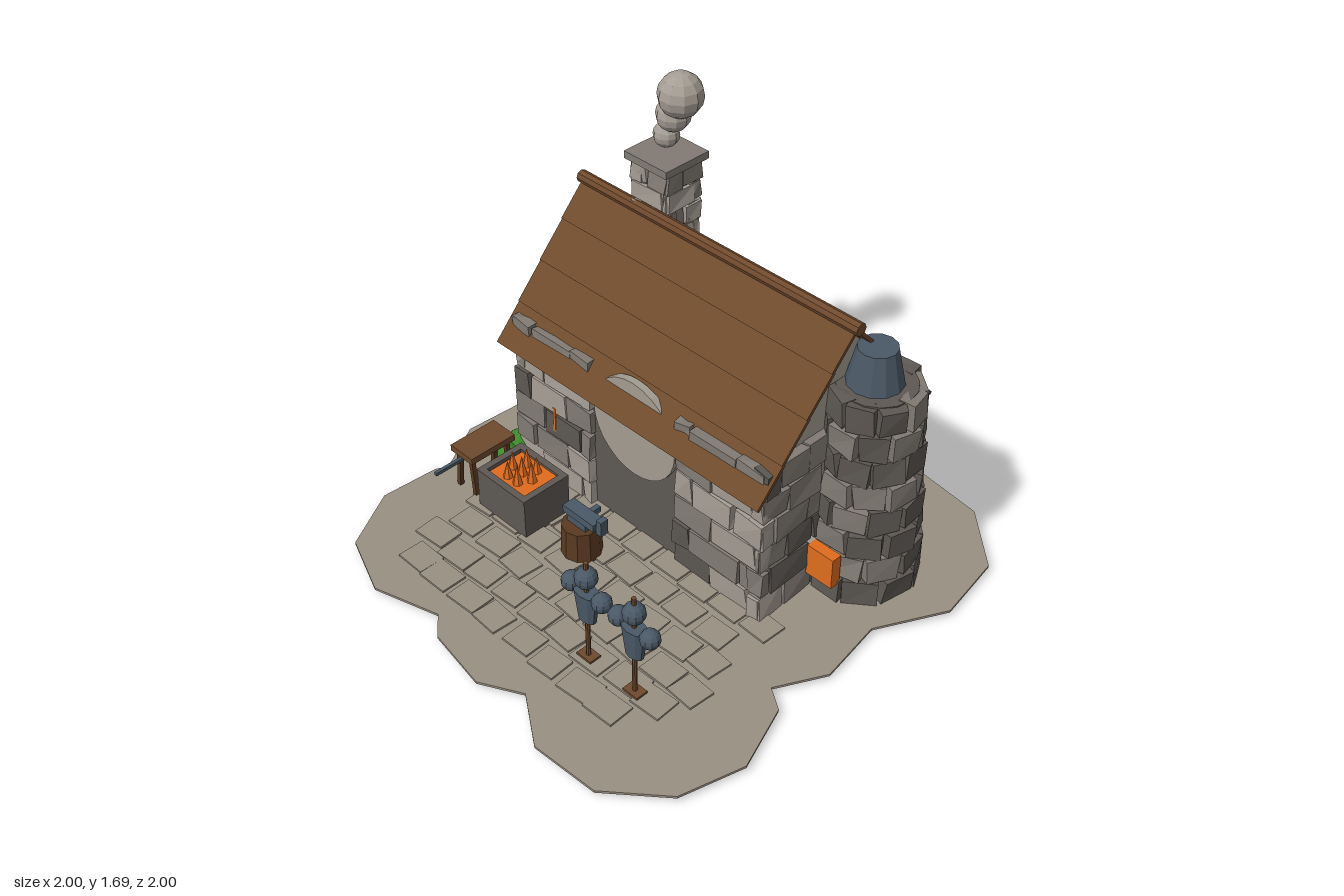
import * as THREE from 'three';

const mat = (name, color) => new THREE.MeshStandardMaterial({ name, color, flatShading: true });

export function createModel() {
  const ground = mat('ground', 0x9a9083), light = mat('light stone', 0xa69e95),
    mid = mat('mid stone', 0x827b74), dark = mat('dark stone', 0x5d5853),
    wood = mat('wood', 0x6f4a2d), darkWood = mat('dark wood', 0x5a3a22),
    iron = mat('iron', 0x4a5866), ember = mat('ember', 0xe06c1e),
    leaf = mat('leaf', 0x3d8a2a), plaster = mat('plaster', 0xa39c91);
  const model = new THREE.Group();
  let seed = 7;
  const rnd = () => (seed = (seed * 16807) % 2147483647) / 2147483647;
  const spread = (a) => (rnd() - 0.5) * 2 * a;

  const add = (parent, name, geo, m, x = 0, y = 0, z = 0) => {
    const mesh = new THREE.Mesh(geo, m);
    mesh.name = name;
    mesh.position.set(x, y, z);
    parent.add(mesh);
    return mesh;
  };
  const part = (name, x = 0, y = 0, z = 0) => {
    const g = new THREE.Group();
    g.name = name;
    g.position.set(x, y, z);
    model.add(g);
    return g;
  };
  const box = (w, h, d) => new THREE.BoxGeometry(w, h, d);
  const cyl = (rt, rb, h, n = 10) => new THREE.CylinderGeometry(rt, rb, h, n);
  const ball = (r) => new THREE.SphereGeometry(r, 10, 8);

  // Rough hewn block: each corner of a box is nudged, shared by its three faces
  const stone = (w, h, d, j = 0.007) => {
    const g = box(w, h, d), p = g.attributes.position, moved = {};
    for (let i = 0; i < p.count; i++) {
      const key = [p.getX(i) > 0, p.getY(i) > 0, p.getZ(i) > 0].join();
      const o = moved[key] ??= [spread(j), spread(j), spread(j)];
      p.setXYZ(i, p.getX(i) + o[0], p.getY(i) + o[1], p.getZ(i) + o[2]);
    }
    return g;
  };

  // One straight face of staggered courses; local x runs along it, local z points outward
  const wall = (parent, name, o) => {
    const g = new THREE.Group();
    g.name = name;
    g.position.set(o.x, 0, o.z);
    g.rotation.y = o.turn;
    parent.add(g);
    const h = (o.y1 - o.y0) / o.courses;
    for (let c = 0; c < o.courses; c++) {
      for (const [from, to] of o.spans ?? [[-o.length / 2, o.length / 2]]) {
        const n = Math.max(1, Math.round((to - from) / o.stone));
        const cuts = [from];
        for (let i = 0; i < n; i++) {
          const x = from + (to - from) * (i + (c % 2 ? 0.45 : 0.8)) / n + spread(o.stone * 0.12);
          cuts.push(x);
        }
        cuts.push(to);
        for (let i = 0; i < cuts.length - 1; i++) {
          const w = cuts[i + 1] - cuts[i];
          if (w < 0.015) continue;
          const m = o.mats[Math.floor(rnd() * o.mats.length)];
          add(g, 'stone', stone(w - 0.008, h - 0.008, 0.06), m,
            (cuts[i] + cuts[i + 1]) / 2, o.y0 + h * (c + 0.5), -0.03 + spread(0.006));
        }
      }
    }
  };
  // Four walls around a rectangle
  const ring = (parent, cx, cz, hx, hz, o, frontSpans) => {
    wall(parent, 'frontWall', { ...o, x: cx, z: cz + hz, turn: 0, length: 2 * hx, spans: frontSpans });
    wall(parent, 'backWall', { ...o, x: cx, z: cz - hz, turn: Math.PI, length: 2 * hx });
    wall(parent, 'leftWall', { ...o, x: cx + hx, z: cz, turn: Math.PI / 2, length: 2 * hz });
    wall(parent, 'rightWall', { ...o, x: cx - hx, z: cz, turn: -Math.PI / 2, length: 2 * hz });
  };

  // Lobed ground slab
  const outline = [-.75, -.95, -.49, -.97, -.26, -.82, -.21, -.88, .04, -.95, .22, -.88, .45, -1, .735, -.965,
    .955, -.765, 1, -.48, .86, -.21, .9, .06, .8, .25, .885, .305, .975, .56, .905, .81, .7, .985, .425, 1,
    .23, .87, .07, .955, -.19, .915, -.275, .845, -.54, .925, -.785, .83, -.92, .59, -.905, .35, -.88, .305,
    -1, .095, -.985, -.16, -.88, -.29, -.98, -.52, -.93, -.765];
  const lobes = new THREE.Shape();
  for (let i = 0; i < outline.length; i += 2) lobes[i ? 'lineTo' : 'moveTo'](outline[i], -outline[i + 1]);
  const slab = new THREE.ExtrudeGeometry(lobes, { depth: 0.01, bevelEnabled: false });
  add(model, 'groundSlab', slab.rotateX(-Math.PI / 2), ground, 0, 0.026, 0);

  // Paving rows
  const paving = part('paving');
  for (let r = 0; r < 6; r++) {
    for (let i = 0; i < 9; i++) {
      const x = -0.61 + i * 0.148 + (r % 2 ? 0.055 : 0) + spread(0.01);
      if (x > 0.63) continue;
      const tile = add(paving, 'pavingStone', box(0.13 + spread(0.012), 0.012, 0.108), ground,
        x, 0.038, 0.07 + r * 0.128 + spread(0.01));
      tile.rotation.y = spread(0.09);
    }
  }

  // House walls, doorway and gables
  const house = part('house');
  add(house, 'wallCore', box(1.23, 0.65, 0.76), dark, -0.09, 0.345, -0.355);
  ring(house, -0.09, -0.35, 0.645, 0.405,
    { y0: 0.03, y1: 0.72, courses: 6, stone: 0.18, mats: [light, light, mid, mid, dark] },
    [[-0.645, -0.225], [0.21, 0.645]]);
  const arch = add(house, 'doorArch', cyl(0.21, 0.21, 0.03, 28), plaster, -0.09, 0.54, 0.03);
  arch.rotation.x = Math.PI / 2;
  add(house, 'doorGlow', box(0.4, 0.008, 0.03), ember, -0.09, 0.02, 0.01);
  add(house, 'hotBar', box(0.012, 0.11, 0.012), ember, -0.51, 0.35, 0.055);
  const tri = new THREE.Shape([[-0.38, 0.69], [0.38, 0.69], [0, 1.12]].map(p => new THREE.Vector2(...p)));
  for (const x of [-0.7, 0.49]) {
    const gable = new THREE.ExtrudeGeometry(tri, { depth: 0.03, bevelEnabled: false });
    add(house, 'gable', gable.rotateY(Math.PI / 2), plaster, x, 0, -0.35);
  }

  // Roof: four overlapping boards on each slope, with a round ridge beam
  const pitch = Math.atan2(0.53, 0.46);
  for (const s of [1, -1]) {
    const slope = part(s > 0 ? 'frontRoof' : 'backRoof', -0.09, 1.145, -0.35);
    slope.rotation.x = s * pitch;
    for (let i = 0; i < 4; i++) {
      const board = add(slope, 'roofBoard', box(1.34, 0.014, 0.184), wood, 0, -0.006, s * (0.088 + i * 0.175));
      board.rotation.x = -s * 0.03;
    }
  }
  add(model, 'ridgeBeam', cyl(0.025, 0.025, 1.37, 8).rotateZ(Math.PI / 2), wood, -0.09, 1.14, -0.35);

  // Chimney and smoke
  const chimney = part('chimney');
  add(chimney, 'chimneyCore', box(0.15, 0.5, 0.15), dark, -0.415, 1.08, -0.44);
  ring(chimney, -0.415, -0.44, 0.09, 0.09,
    { y0: 0.83, y1: 1.33, courses: 6, stone: 0.13, mats: [light, light, light, mid] });
  add(chimney, 'chimneyCap', box(0.215, 0.03, 0.215), mid, -0.415, 1.345, -0.44);
  for (const [x, y, r] of [[-0.415, 1.43, 0.05], [-0.38, 1.525, 0.066], [-0.345, 1.615, 0.086]])
    add(chimney, 'smokePuff', ball(r), light, x, y, -0.44);

  // Round furnace tower
  const tower = part('furnaceTower', 0.62, 0, -0.43);
  add(tower, 'towerCore', cyl(0.145, 0.175, 0.87, 16), dark, 0, 0.46, 0);
  for (let c = 0; c < 8; c++) {
    const r = 0.178 - c * 0.005, n = 9;
    for (let i = 0; i < n; i++) {
      const a = (i + (c % 2) / 2) / n * Math.PI * 2;
      const block = add(tower, 'towerStone', stone(r * 0.73, 0.102, 0.055, 0.008), rnd() < 0.25 ? mid : dark,
        Math.sin(a) * r, 0.085 + c * 0.108, Math.cos(a) * r);
      block.rotation.y = a;
    }
  }
  add(tower, 'towerFlue', cyl(0.073, 0.105, 0.145, 12), iron, -0.01, 0.968, 0);
  add(tower, 'furnaceMouth', box(0.12, 0.135, 0.045), ember, 0, 0.188, 0.22);

  // Open forge with flames
  const forge = part('forge', -0.485, 0, 0.25);
  add(forge, 'forgeBase', box(0.27, 0.18, 0.22), dark, 0, 0.11, 0);
  for (const s of [1, -1]) {
    add(forge, 'forgeRim', box(0.27, 0.02, 0.028), dark, 0, 0.208, s * 0.098);
    add(forge, 'forgeRim', box(0.028, 0.02, 0.17), dark, s * 0.121, 0.208, 0);
  }
  add(forge, 'coals', box(0.2, 0.008, 0.165), ember, 0, 0.205, 0);
  for (let i = 0; i < 7; i++) {
    const a = i * Math.PI / 3, r = i < 6 ? 0.055 : 0, h = 0.08 + 0.03 * rnd();
    add(forge, 'flame', new THREE.ConeGeometry(0.023, h, 6), ember, Math.cos(a) * r, 0.2 + h / 2, Math.sin(a) * r);
  }

  // Anvil on a stump
  const anvil = part('anvil', -0.16, 0, 0.25);
  add(anvil, 'stump', cyl(0.075, 0.08, 0.145), darkWood, 0, 0.1, 0);
  add(anvil, 'anvilFoot', box(0.1, 0.035, 0.05), iron, 0, 0.188, 0);
  add(anvil, 'anvilFace', box(0.165, 0.032, 0.056), iron, 0.015, 0.22, 0);
  add(anvil, 'hammerHead', box(0.026, 0.065, 0.036), iron, 0.115, 0.228, 0);
  add(anvil, 'anvilPeg', box(0.022, 0.025, 0.06), iron, 0, 0.19, -0.06);

  // Bench with a leaning tool
  const bench = part('bench', -0.72, 0, 0.247);
  add(bench, 'benchTop', box(0.125, 0.028, 0.215), wood, 0, 0.222, 0);
  for (const sx of [-1, 1]) for (const sz of [-1, 1]) {
    const leg = add(bench, 'benchLeg', box(0.018, 0.19, 0.018), darkWood, sx * 0.042, 0.118, sz * 0.085);
    leg.rotation.z = sx * 0.08;
  }
  add(bench, 'longTool', box(0.014, 0.014, 0.24), iron, 0, 0.203, 0.115);

  // Armour stands
  for (const x of [0.257, 0.49]) {
    const stand = part('armourStand', x, 0, 0.6);
    add(stand, 'foot', box(0.07, 0.014, 0.05), wood, 0, 0.046, 0);
    add(stand, 'pole', cyl(0.009, 0.009, 0.455, 8), wood, 0, 0.262, 0);
    add(stand, 'breastplate', cyl(0.058, 0.04, 0.13).scale(1, 1, 0.6), iron, 0, 0.292, 0);
    add(stand, 'helmet', ball(0.043), iron, 0, 0.42, 0);
    for (const s of [1, -1]) add(stand, 'shoulderGuard', ball(0.038), iron, s * 0.076, 0.355, 0);
  }

  // Shrubs along the walls
  for (const [x, z, r] of [[-0.765, -0.15, 0.055], [-0.755, -0.27, 0.035], [-0.76, 0.03, 0.062],
    [-0.755, 0.105, 0.052], [0.02, -0.79, 0.03], [-0.68, 0.1, 0.04]]) {
    const bush = add(model, 'shrub', new THREE.IcosahedronGeometry(r, 1), leaf, x, 0.01 + r * 0.95, z);
    bush.rotation.set(rnd(), rnd() * 3, 0);
  }
  return model;
}
